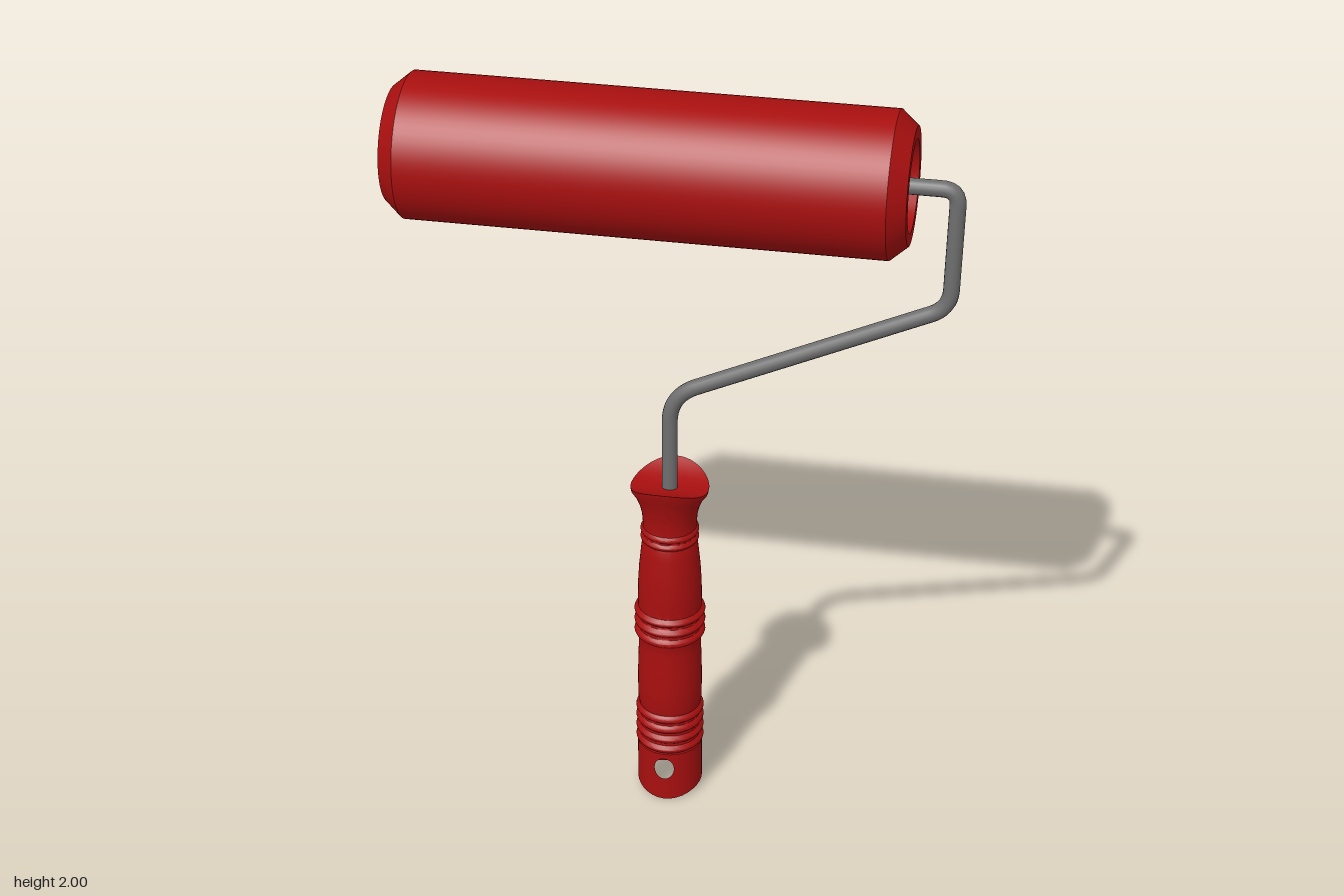
import * as THREE from 'three';
import { toCreasedNormals } from 'three/addons/utils/BufferGeometryUtils.js';

const red = new THREE.MeshStandardMaterial({ color: 0xa80f0f });
const redShell = new THREE.MeshStandardMaterial({ color: 0xa80f0f, side: THREE.DoubleSide });
const steel = new THREE.MeshStandardMaterial({ color: 0x6e6e6e });

const AXLE_Y = 1.82, HANDLE_X = -0.015, GRIP_R = 0.085;

function addMesh(parent, name, geometry, material) {
  const mesh = new THREE.Mesh(geometry, material);
  mesh.name = name;
  parent.add(mesh);
  return mesh;
}

const lathe = (pts, segments) =>
  new THREE.LatheGeometry(pts.map(([r, y]) => new THREE.Vector2(r, y)), segments);

// Saddle-shaped curve at both ends of the handle
function saddle(geometry) {
  const p = geometry.attributes.position;
  for (let i = 0; i < p.count; i++) {
    const y = p.getY(i), z = p.getZ(i);
    const top = THREE.MathUtils.smoothstep(y, 0.85, 0.915);
    const bottom = 1 - THREE.MathUtils.smoothstep(y, 0.02, 0.07);
    p.setY(i, y + 0.032 * top * (z / 0.1) ** 2 - 0.02 * bottom * (z / GRIP_R) ** 2);
  }
  return geometry;
}

// Turned grip with raised rings and a flared, closed top
function gripGeometry() {
  const pts = [];
  const ring = (y, r, bump, half = 0.012) => {
    for (let i = 0; i <= 6; i++) {
      const t = i / 6;
      pts.push([r + bump * Math.sin(Math.PI * t), y + half * (2 * t - 1)]);
    }
  };
  pts.push([GRIP_R, 0.145]);
  [0.158, 0.19, 0.222, 0.253].forEach(y => ring(y, 0.08, 0.009));
  pts.push([0.083, 0.28], [0.084, 0.34], [0.083, 0.4], [0.081, 0.45], [0.081, 0.48]);
  [0.495, 0.527, 0.558].forEach(y => ring(y, 0.082, 0.01));
  pts.push([0.083, 0.59], [0.082, 0.64], [0.079, 0.69], [0.074, 0.74], [0.071, 0.765]);
  [0.78, 0.803].forEach(y => ring(y, 0.069, 0.006, 0.009));
  pts.push([0.069, 0.825], [0.071, 0.85], [0.077, 0.875], [0.087, 0.898], [0.098, 0.913], [0.1, 0.924]);
  [0.09, 0.07, 0.05, 0.025, 0].forEach(r => pts.push([r, 0.924]));
  return toCreasedNormals(saddle(lathe(pts, 48)), 0.75);
}

// Half of the open sleeve at the foot: rings blend from the hanging hole to the outer border
function sleeveGeometry() {
  const side = 16, n = side * 4, rows = 8;
  const position = [], normal = [], index = [];
  for (let s = 0; s <= rows; s++) {
    const t = s / rows;
    for (let k = 0; k < n; k++) {
      const edge = Math.floor(k / side), q = 2 * (k % side) / side - 1;
      const [u, v] = [[1, q], [-q, 1], [-1, -q], [q, -1]][edge];
      const a = Math.atan2(v, u);
      const theta = THREE.MathUtils.lerp(0.31 * Math.cos(a), u * Math.PI / 2, t);
      const y = THREE.MathUtils.lerp(0.098 + 0.032 * Math.sin(a), 0.0825 + 0.0625 * v, t);
      position.push(GRIP_R * Math.sin(theta), y, GRIP_R * Math.cos(theta));
      normal.push(Math.sin(theta), 0, Math.cos(theta));
      if (s < rows) {
        const i = s * n + k, j = s * n + (k + 1) % n;
        index.push(i, i + n, j + n, i, j + n, j);
      }
    }
  }
  const g = new THREE.BufferGeometry();
  g.setAttribute('position', new THREE.Float32BufferAttribute(position, 3));
  g.setAttribute('normal', new THREE.Float32BufferAttribute(normal, 3));
  g.setIndex(index);
  return saddle(g);
}

// Straight runs joined by rounded corners; each point is [x, y, corner size]
function bentPath(points) {
  const path = new THREE.CurvePath();
  const v = points.map(([x, y]) => new THREE.Vector3(x, y, 0));
  let last = v[0];
  for (let i = 1; i < v.length - 1; i++) {
    const c = points[i][2];
    const into = v[i].clone().add(v[i - 1].clone().sub(v[i]).setLength(c));
    const out = v[i].clone().add(v[i + 1].clone().sub(v[i]).setLength(c));
    path.add(new THREE.LineCurve3(last, into));
    path.add(new THREE.QuadraticBezierCurve3(into, v[i], out));
    last = out;
  }
  path.add(new THREE.LineCurve3(last, v[v.length - 1]));
  return path;
}

export function createModel() {
  const model = new THREE.Group();
  model.name = 'paintRoller';

  // Roller sleeve with chamfered rims and recessed ends
  const half = 0.632;
  const end = [[0, half - 0.025], [0.105, half - 0.025], [0.112, half], [0.143, half], [0.18, half - 0.043]];
  const profile = [...end.map(([r, y]) => [r, -y]), ...end.reverse()];
  const roller = addMesh(model, 'rollerCover', toCreasedNormals(lathe(profile, 64), 0.5), red);
  roller.rotation.z = -Math.PI / 2;
  roller.position.set(-0.062, AXLE_Y, 0);

  // Bent wire frame running from the handle through the roller
  const wire = bentPath([
    [HANDLE_X, 0.88], [HANDLE_X, 1.19, 0.075], [0.67, 1.505, 0.05],
    [0.677, AXLE_Y, 0.04], [-0.702, AXLE_Y],
  ]);
  addMesh(model, 'wireFrame', new THREE.TubeGeometry(wire, 240, 0.02, 16), steel);
  const tip = addMesh(model, 'axleEnd', new THREE.CircleGeometry(0.02, 16), steel);
  tip.rotation.y = -Math.PI / 2;
  tip.position.set(-0.702, AXLE_Y, 0);

  // Handle
  const handle = new THREE.Group();
  handle.name = 'handle';
  handle.position.x = HANDLE_X;
  addMesh(handle, 'grip', gripGeometry(), redShell);
  const sleeve = sleeveGeometry();
  addMesh(handle, 'footFront', sleeve, redShell);
  addMesh(handle, 'footBack', sleeve, redShell).rotation.y = Math.PI;
  model.add(handle);

  return model;
}
